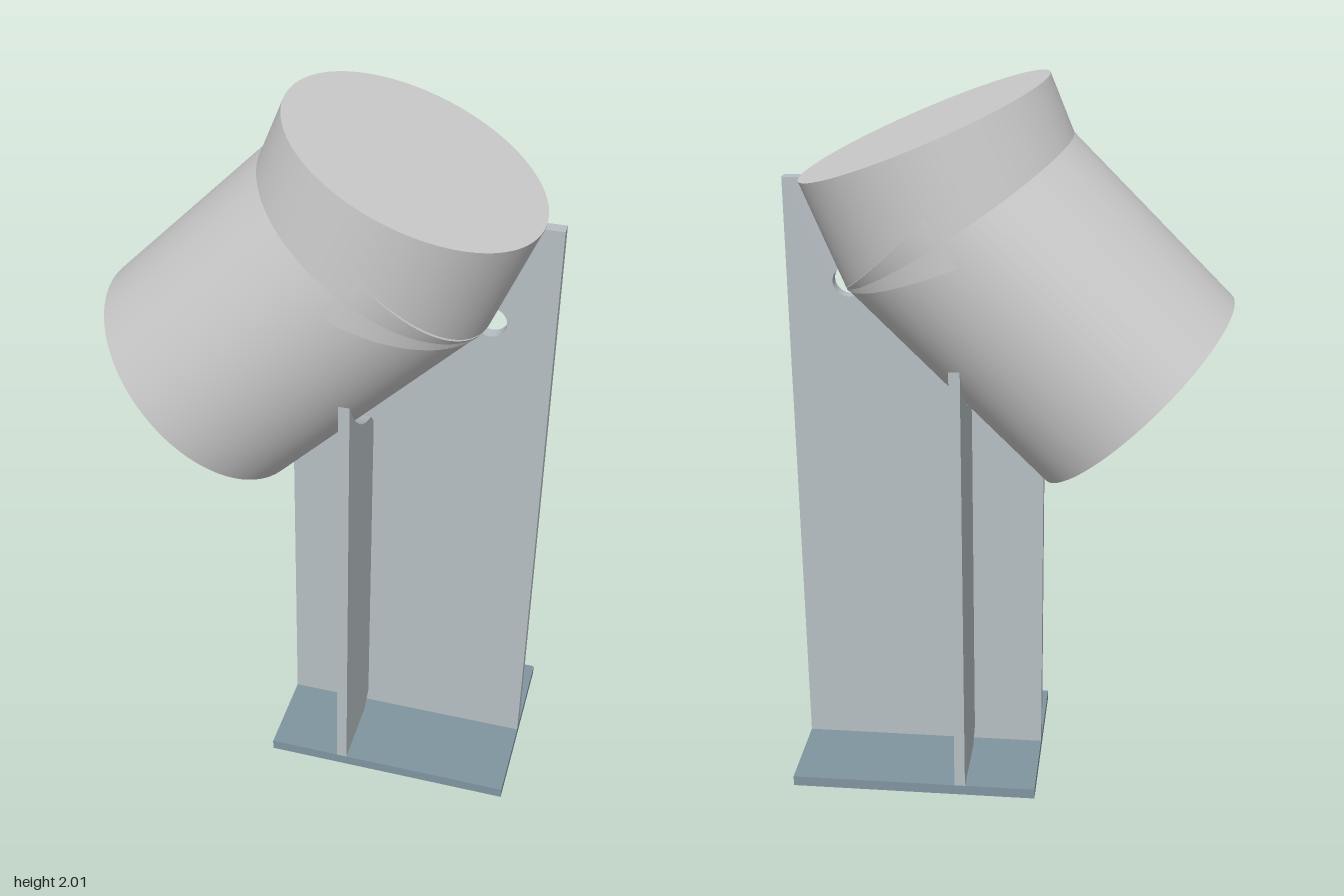
import * as THREE from 'three';

const R = 0.356;           // pipe radius
const HEEL = [0.433, 1.448]; // outer corner shared by both pipe sections
const WEB = 0.018;         // half thickness of the web plate

const pipeMat = new THREE.MeshStandardMaterial({ color: 0xcccccc });
const plateMat = new THREE.MeshStandardMaterial({ color: 0xb7bfc4 });
const baseMat = new THREE.MeshStandardMaterial({ color: 0x8095a0 });

function add(group, name, geometry, material) {
  const mesh = new THREE.Mesh(geometry, material);
  mesh.name = name;
  group.add(mesh);
  return mesh;
}

// Square-cut solid pipe section that touches the heel; dir = +1 upward, -1 downward
function pipe(group, name, degrees, length, dir) {
  const a = THREE.MathUtils.degToRad(degrees);
  const mesh = add(group, name, new THREE.CylinderGeometry(R, R, length, 96), pipeMat);
  const along = dir * length / 2;
  mesh.position.set(
    HEEL[0] - R * Math.sin(a) + along * Math.cos(a),
    HEEL[1] + R * Math.cos(a) + along * Math.sin(a), 0);
  mesh.rotation.z = a - Math.PI / 2;
}

// Flat plate cut from a shape, centred on its own thickness
function plate(shape, thickness) {
  return new THREE.ExtrudeGeometry(shape, { depth: thickness, bevelEnabled: false, curveSegments: 24 })
    .translate(0, 0, -thickness / 2);
}

export function createModel() {
  const model = new THREE.Group();
  model.name = 'pipeElbowSupport';

  // Two pipe sections forming the elbow
  pipe(model, 'lowerPipe', 45, 0.753, -1);
  pipe(model, 'upperPipe', 67.5, 0.308, 1);

  // Base plate
  const base = add(model, 'basePlate', new THREE.BoxGeometry(0.7, 0.03, 0.54), baseMat);
  base.position.set(0.25, 0.015, 0);

  // Web plate following the underside of the elbow, with a round relief at the heel
  const web = new THREE.Shape();
  web.moveTo(-0.1, 0.03);
  web.lineTo(0.6, 0.03);
  web.lineTo(0.6, 1.73);
  web.lineTo(0.551, 1.73);
  web.absarc(HEEL[0], HEEL[1], 0.042, Math.PI * 0.375, -Math.PI * 0.75, true);
  web.lineTo(-0.1, 0.915);
  web.closePath();
  add(model, 'webPlate', plate(web, WEB * 2), plateMat);

  // Stiffeners either side of the web, saddle-cut to the pipe and snipped at the web
  const saddle = z => 1.617 - Math.SQRT2 * Math.sqrt(R * R - z * z);
  const rib = new THREE.Shape();
  rib.moveTo(0.06, 0.03);
  rib.lineTo(0.27, 0.03);
  for (let i = 0; i <= 20; i++) {
    const z = 0.27 - i * 0.011;
    rib.lineTo(z, saddle(z));
  }
  rib.lineTo(WEB, 1.085);
  rib.lineTo(WEB, 0.072);
  rib.closePath();
  for (const side of [1, -1]) {
    const mesh = add(model, side > 0 ? 'frontStiffener' : 'backStiffener', plate(rib, 0.03), plateMat);
    mesh.rotation.y = -side * Math.PI / 2;
    mesh.position.x = 0.115;
  }
  return model;
}
